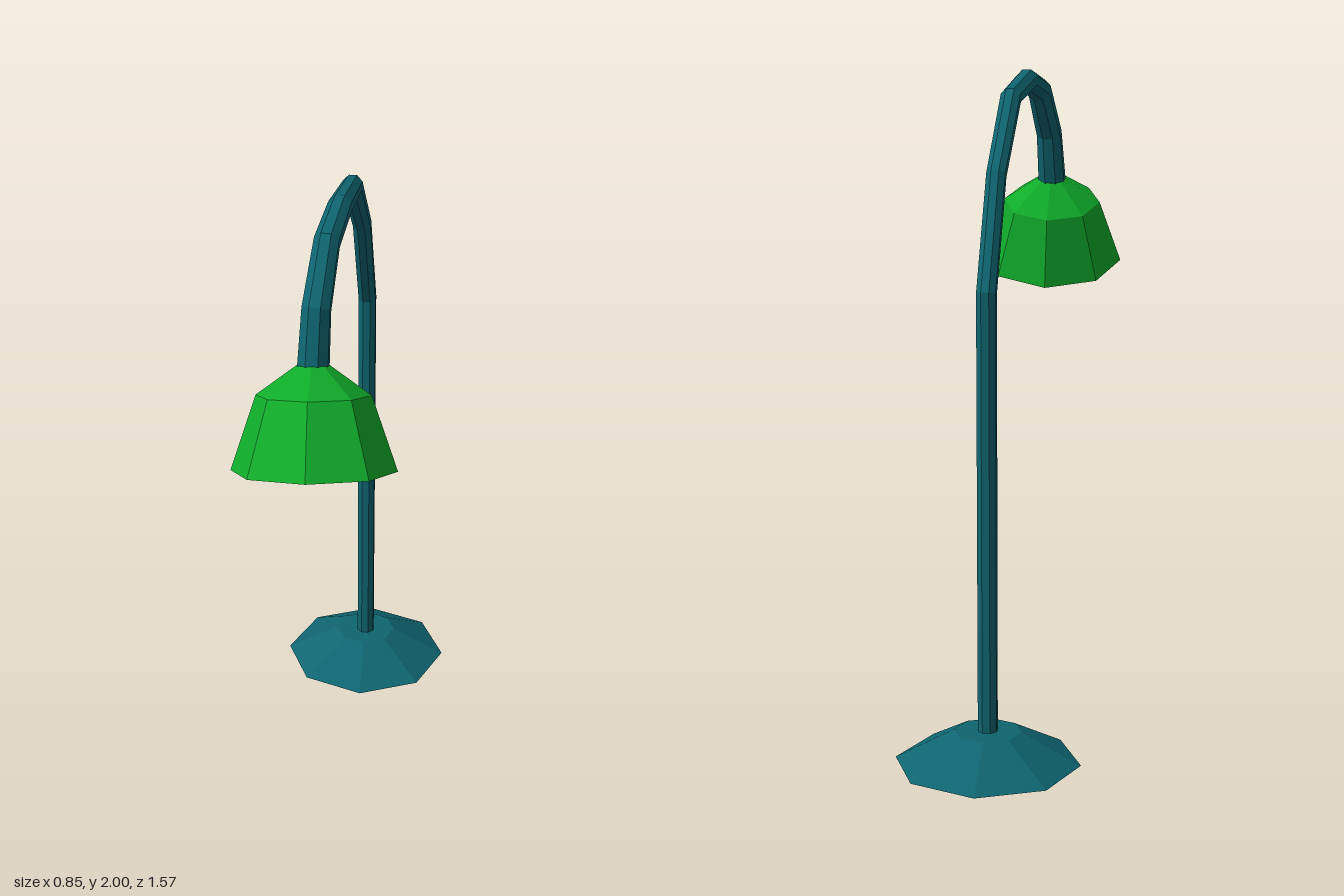
import * as THREE from 'three';

const TEAL = 0x0f6570, GREEN = 0x10ad2b;
const SIDES = 8;
const TURN = Math.PI / 6; // shared rotation of the octagons

function material(color, side = THREE.FrontSide) {
  return new THREE.MeshStandardMaterial({ color, flatShading: true, side });
}

function part(name, geometry, mat) {
  const mesh = new THREE.Mesh(geometry, mat);
  mesh.name = name;
  return mesh;
}

// Octagonal tube with a radius per point and mitred bends; stations are [x, y, z, radius]
function taperedTube(stations) {
  const pts = stations.map(([x, y, z]) => new THREE.Vector3(x, y, z));
  const dirs = pts.slice(1).map((p, i) => p.clone().sub(pts[i]).normalize());
  const sideways = new THREE.Vector3(0.955, 0, 0.297);
  const pos = [], index = [];
  pts.forEach((p, k) => {
    const before = dirs[Math.max(k - 1, 0)], after = dirs[Math.min(k, dirs.length - 1)];
    const t = before.clone().add(after).normalize();
    const side = sideways.clone().addScaledVector(t, -sideways.dot(t)).normalize();
    const up = t.clone().cross(side);
    const mitre = 1 / t.dot(after);
    for (let i = 0; i < SIDES; i++) {
      const a = (i + 0.5) / SIDES * Math.PI * 2, r = stations[k][3];
      const v = p.clone().addScaledVector(side, r * Math.cos(a)).addScaledVector(up, r * mitre * Math.sin(a));
      pos.push(v.x, v.y, v.z);
      if (k < pts.length - 1) {
        const j = (i + 1) % SIDES, o = k * SIDES, n = o + SIDES;
        index.push(o + i, o + j, n + j, o + i, n + j, n + i);
      }
    }
  });
  const g = new THREE.BufferGeometry();
  g.setAttribute('position', new THREE.Float32BufferAttribute(pos, 3));
  g.setIndex(index);
  const flat = g.toNonIndexed();
  flat.computeVertexNormals();
  return flat;
}

export function createModel() {
  const lamp = new THREE.Group();
  lamp.name = 'lamp';

  // Shade axis, pointing up from the middle of its rim
  const rim = new THREE.Vector3(-0.197, 1.36, 0.568);
  const axis = new THREE.Vector3(0.06, 1, -0.35).normalize();
  const onAxis = (h, r) => [...rim.clone().addScaledVector(axis, h).toArray(), r];

  // Sloped foot
  const base = part('base', new THREE.CylinderGeometry(0.1, 0.276, 0.095, SIDES, 1, false, TURN), material(TEAL));
  base.position.set(0.158, 0.0475, -0.52);
  lamp.add(base);

  // Pole and curved arm, widening towards the shade and ending in a lamp holder
  lamp.add(part('poleAndArm', taperedTube([
    [0.157, 0.08, -0.516, 0.03],
    [0.157, 1.39, -0.516, 0.03],
    [0.109, 1.71, -0.36, 0.03],
    [0.037, 1.92, -0.133, 0.032],
    [-0.05, 1.963, 0.148, 0.036],
    [-0.115, 1.928, 0.315, 0.038],
    [-0.165, 1.785, 0.435, 0.042],
    onAxis(0.29, 0.046),
    onAxis(0.05, 0.044),
    onAxis(0.03, 0.03),
    onAxis(0.029, 0.0005),
  ]), material(TEAL)));

  // Hollow shade with a thick rim: outside up from the rim, and back down the inside
  const profile = [[0.03, 0.262], [0.138, 0.192], [0.208, 0.006], [0.232, 0], [0.16, 0.21], [0.046, 0.292], [0.03, 0.285]];
  const shade = part('shade', new THREE.LatheGeometry(
    profile.map(([r, h]) => new THREE.Vector2(r, h)), SIDES, TURN), material(GREEN, THREE.DoubleSide));
  shade.position.copy(rim);
  shade.quaternion.setFromUnitVectors(new THREE.Vector3(0, 1, 0), axis);
  lamp.add(shade);

  return lamp;
}
